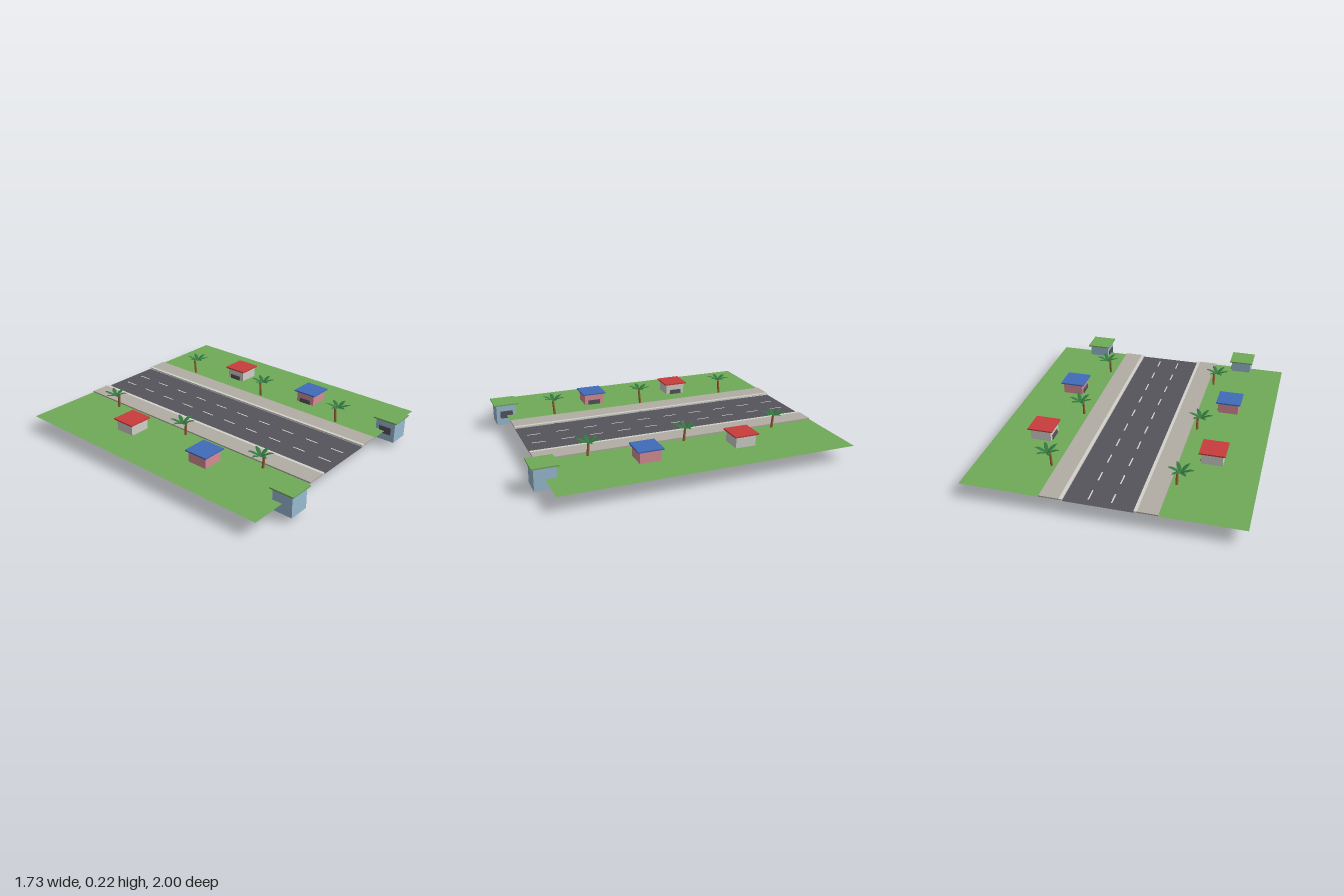
import * as THREE from 'three';

const mat = (name, color, side = THREE.FrontSide) => {
  const m = new THREE.MeshStandardMaterial({ color, side });
  m.name = name;
  return m;
};

export function createModel() {
  const model = new THREE.Group();
  model.name = 'streetScene';

  const grass = mat('grass green', 0x70aa58, THREE.DoubleSide);
  const asphalt = mat('asphalt', 0x55545c, THREE.DoubleSide);
  const paving = mat('paving', 0xb2aca4);
  const pale = mat('pale grey', 0xd2d1cb);
  const bark = mat('bark', 0x9a6236);
  const leaf = mat('palm green', 0x33783f, THREE.DoubleSide);
  const red = mat('roof red', 0xc83c3c);
  const blue = mat('roof blue', 0x3f6cba);
  const pink = mat('wall pink', 0xd88f96);
  const sky = mat('wall blue', 0x9bbcd3);

  const add = (parent, name, geometry, material, x, y, z) => {
    const mesh = new THREE.Mesh(geometry, material);
    mesh.name = name;
    mesh.position.set(x, y, z);
    parent.add(mesh);
    return mesh;
  };
  const box = (w, h, d) => new THREE.BoxGeometry(w, h, d);
  const flat = (w, d) => new THREE.PlaneGeometry(w, d).rotateX(-Math.PI / 2);

  // All strips share one length, split into three plots
  const back = -1, front = 0.917, length = front - back;
  const mid = (front + back) / 2, plot = length / 3;

  // Road with two rows of lane dashes
  add(model, 'road', flat(0.428, length), asphalt, 0, 0.101, mid);
  for (let i = 0; i < 10; i++) {
    for (const x of [-0.07, 0.07]) {
      add(model, 'laneDash', flat(0.009, 0.09), pale, x, 0.1025, back + (i + 0.5) * length / 10);
    }
  }

  // Verge, pavement and curb on each side
  for (const s of [-1, 1]) {
    add(model, 'lawn', flat(0.511, length), grass, s * 0.6115, 0.104, mid);
    add(model, 'pavement', box(0.124, 0.009, length), paving, s * 0.296, 0.1085, mid);
    add(model, 'curb', box(0.02, 0.009, length), pale, s * 0.224, 0.1085, mid);
  }

  // House with an overhanging slab roof and a window towards the road
  const house = (s, z, wall, roof) => {
    const g = new THREE.Group();
    g.name = 'house';
    add(g, 'walls', box(0.137, 0.142, 0.137), wall, 0, 0.108, 0);
    add(g, 'roof', box(0.166, 0.009, 0.166), roof, 0, 0.1825, 0);
    add(g, 'window', box(0.007, 0.05, 0.085), asphalt, -s * 0.071, 0.11, 0);
    g.position.set(s * 0.562, 0, z);
    model.add(g);
  };

  // Palm frond: tapered, gently folded strip that rises and then levels out
  const frondGeometry = () => {
    const g = new THREE.PlaneGeometry(1, 1, 4, 2);
    const p = g.attributes.position;
    const widths = [0.004, 0.011, 0.0135, 0.01, 0.001];
    const heights = [0, 0.012, 0.022, 0.028, 0.026];
    for (let i = 0; i < p.count; i++) {
      const k = Math.round((p.getX(i) + 0.5) * 4);
      const v = p.getY(i) * 2;
      p.setXYZ(i, k * 0.0205, heights[k] - Math.abs(v) * widths[k] * 0.3, -v * widths[k]);
    }
    g.computeVertexNormals();
    return g;
  };
  const frond = frondGeometry();

  // Palm: leaning trunk with six fronds
  const palm = (s, z) => {
    const g = new THREE.Group();
    g.name = 'palmTree';
    const trunk = add(g, 'trunk', new THREE.CylinderGeometry(0.0075, 0.01, 0.198, 8), bark, -s * 0.023, 0.1, 0);
    trunk.rotation.x = -s * 0.09;
    for (let i = 0; i < 6; i++) {
      add(g, 'frond', frond, leaf, 0, 0.195, 0).rotation.y = i * Math.PI / 3;
    }
    g.position.set(s * 0.418, 0, z);
    model.add(g);
  };

  const styles = [[sky, grass], [pink, blue], [pale, red]];
  for (const s of [-1, 1]) {
    styles.forEach(([wall, roof], i) => {
      house(s, front - i * plot, wall, roof);
      palm(s, front - (i + 0.5) * plot);
    });
  }
  return model;
}
